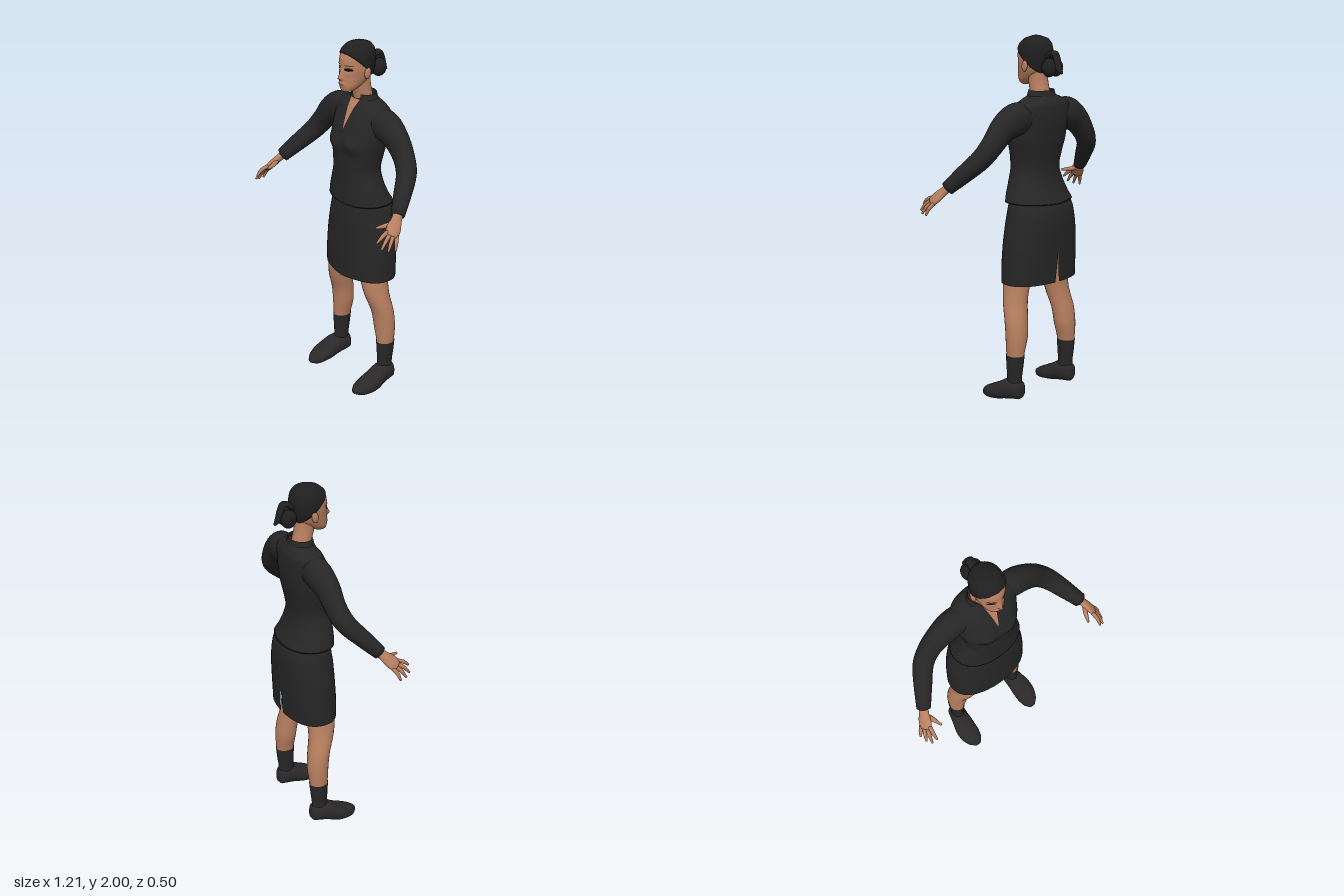
import * as THREE from 'three';

const V = (x, y, z) => new THREE.Vector3(x, y, z);
const UP = V(0, 1, 0), RIGHT = V(1, 0, 0), FRONT = V(0, 0, 1);
const paint = (name, color, side = THREE.FrontSide) => {
  const m = new THREE.MeshStandardMaterial({ color, side });
  m.name = name;
  return m;
};
const bump = (d, s) => Math.exp(-((d / s) ** 2));

// Smooth skin over elliptical sections [x, y, z, radiusA, radiusB].
// dir fixes the ring plane; without it rings follow the path.
function loft(rows, { side = RIGHT, dir = null, seg = 24, sub = 4, pow = 2, caps = true, arc = null, shape = null } = {}) {
  const path = new THREE.CatmullRomCurve3(rows.map(r => V(r[0], r[1], r[2])));
  const radii = new THREE.CatmullRomCurve3(rows.map(r => V(r[3], r[4], 0)));
  const steps = (rows.length - 1) * sub, cols = arc ? seg + 1 : seg;
  const pos = [], idx = [];
  const soft = v => Math.sign(v) * Math.abs(v) ** (2 / pow);
  for (let i = 0; i <= steps; i++) {
    const t = i / steps, c = path.getPoint(t), r = radii.getPoint(t);
    const T = dir || path.getTangent(t);
    const a = side.clone().addScaledVector(T, -side.dot(T)).normalize();
    const b = T.clone().cross(a).normalize();
    for (let j = 0; j < cols; j++) {
      const u = j / seg, th = arc ? arc[0] + (arc[1] - arc[0]) * u : u * Math.PI * 2;
      const p = c.clone().addScaledVector(a, r.x * soft(Math.cos(th))).addScaledVector(b, r.y * soft(Math.sin(th)));
      if (shape) shape(p, u, c);
      pos.push(p.x, p.y, p.z);
    }
  }
  for (let i = 0; i < steps; i++) for (let j = 0; j < seg; j++) {
    const k = (j + 1) % cols, p = i * cols, q = p + cols;
    idx.push(p + j, p + k, q + j, p + k, q + k, q + j);
  }
  if (caps) for (const end of [0, steps]) {
    const mid = [0, 0, 0], start = end * cols, n = pos.length / 3;
    for (let j = 0; j < cols; j++) for (let k = 0; k < 3; k++) mid[k] += pos[(start + j) * 3 + k] / cols;
    pos.push(...mid);
    for (let j = 0; j < seg; j++) {
      const k = (j + 1) % cols;
      idx.push(n, start + (end ? j : k), start + (end ? k : j));
    }
  }
  return finish(pos, idx);
}

function finish(pos, idx) {
  const g = new THREE.BufferGeometry();
  g.setAttribute('position', new THREE.Float32BufferAttribute(pos, 3));
  g.setIndex(idx);
  g.computeVertexNormals();
  return g;
}

// Thin patch laid on the front of a mesh; rows are [y, xLeft, xRight].
function patch(target, rows, cols = 8, lift = 0.003) {
  const ray = new THREE.Raycaster(), pos = [], idx = [];
  rows.forEach(([y, x0, x1], i) => {
    for (let j = 0; j <= cols; j++) {
      const x = x0 + (x1 - x0) * j / cols;
      ray.set(V(x, y, 1), V(0, 0, -1));
      const hit = ray.intersectObject(target)[0];
      pos.push(x, y, (hit ? hit.point.z : 0) + lift);
      if (i && j) {
        const q = i * (cols + 1) + j, p = q - cols - 1;
        idx.push(p - 1, p, q - 1, p, q, q - 1);
      }
    }
  });
  return finish(pos, idx);
}
const oval = (cx, cy, w, h, slant = 0) => Array.from({ length: 9 }, (_, i) => {
  const k = -1 + i / 4, half = w * Math.sqrt(1 - k * k) + 0.0005;
  return [cy + h * k, cx - half + slant * k, cx + half + slant * k];
});

export function createModel() {
  const model = new THREE.Group();
  const skin = paint('skin', 0xb98060);
  const cloth = paint('suit cloth', 0x262626, THREE.DoubleSide);
  const hairMat = paint('hair', 0x1f1f1f);
  const shoeMat = paint('shoe leather', 0x2a2828);
  const sockMat = paint('sock', 0x272727, THREE.DoubleSide);
  const eyeMat = paint('eye', 0x0b0908);
  const lipMat = paint('lip', 0x935c48);
  const browMat = paint('brow', 0x5a3c2c);
  const add = (name, geo, mat) => {
    const m = new THREE.Mesh(geo, mat);
    m.name = name;
    model.add(m);
    return m;
  };

  // Jacket body with bust, waist and flared hem
  const jacket = add('jacket', loft([
    [0, 1.105, -0.08, 0.207, 0.14], [0, 1.15, -0.068, 0.195, 0.128], [0, 1.22, -0.056, 0.168, 0.114],
    [0, 1.30, -0.051, 0.143, 0.111], [0, 1.38, -0.058, 0.155, 0.117], [0, 1.45, -0.064, 0.172, 0.124],
    [0, 1.52, -0.075, 0.178, 0.12], [0, 1.59, -0.09, 0.185, 0.105], [0, 1.64, -0.1, 0.18, 0.09],
    [0, 1.667, -0.102, 0.135, 0.072], [0, 1.69, -0.1, 0.075, 0.058]],
  {
    dir: UP, seg: 48, pow: 2.25,
    shape: (p, u, c) => {
      if (p.z > c.z) p.z += 0.02 * bump(Math.abs(p.x) - 0.075, 0.05) * bump(p.y - 1.455, 0.04);
      if (p.y < 1.15) p.y += 0.012 * (Math.abs(p.x) / 0.2) * (1.15 - p.y) / 0.045;
    },
  }), cloth);
  jacket.geometry.computeBoundingSphere();
  add('openNeckline', patch(jacket, [[1.53, -0.001, 0.001], [1.56, -0.007, 0.007], [1.60, -0.015, 0.015],
    [1.64, -0.024, 0.024], [1.665, -0.03, 0.03], [1.685, -0.036, 0.036]], 8, 0.004), skin);
  add('collar', loft([[0, 1.66, -0.1, 0.112, 0.077], [0, 1.685, -0.098, 0.087, 0.067], [0, 1.715, -0.098, 0.076, 0.062]],
    { dir: UP, seg: 36, caps: false, arc: [-Math.PI / 2 + 0.5, Math.PI * 1.5 - 0.5] }), cloth);

  // Skirt, open at the back seam for the slit
  add('skirt', loft([[0, 0.675, -0.08, 0.24, 0.14], [0, 0.78, -0.082, 0.239, 0.143], [0, 0.9, -0.088, 0.233, 0.143],
    [0, 1.0, -0.092, 0.217, 0.142], [0, 1.08, -0.092, 0.202, 0.132], [0, 1.15, -0.08, 0.178, 0.112]],
  {
    dir: UP, seg: 48, pow: 2.3, caps: false, arc: [Math.PI / 2, Math.PI * 2.5],
    shape: (p, u) => {
      const gap = 0.014 * Math.max(0, (0.83 - p.y) / 0.155);
      if (u === 0) p.x -= gap;
      if (u === 1) p.x += gap;
      if (p.y < 0.7 && p.z > 0) p.y -= 0.012 * bump(p.x, 0.08);
    },
  }), cloth);

  // Neck and head
  add('neck', loft([[0, 1.62, -0.1, 0.058, 0.05], [0, 1.70, -0.088, 0.054, 0.053],
    [0, 1.76, -0.074, 0.052, 0.055], [0, 1.83, -0.065, 0.055, 0.06]], { dir: UP }), skin);
  const headRows = [[0, 1.736, 0.02, 0.016, 0.016], [0, 1.745, 0.012, 0.036, 0.036], [0, 1.77, -0.008, 0.055, 0.063],
    [0, 1.81, -0.035, 0.07, 0.088], [0, 1.86, -0.045, 0.08, 0.097], [0, 1.91, -0.05, 0.083, 0.099],
    [0, 1.95, -0.055, 0.077, 0.088], [0, 1.978, -0.06, 0.055, 0.062], [0, 1.993, -0.06, 0.016, 0.018]];
  const head = add('head', loft(headRows, {
    dir: UP, seg: 96, sub: 8,
    shape: p => {
      if (p.z < 0) return;
      const x = Math.abs(p.x);
      p.z += 0.021 * bump(x, 0.012) * bump(p.y - 1.817, p.y > 1.817 ? 0.034 : 0.011)
        + 0.008 * bump(x, 0.008) * bump(x - 0.014, 0.02) * bump(p.y - 1.814, 0.01)
        - 0.007 * bump(x - 0.037, 0.018) * bump(p.y - 1.864, 0.013)
        + 0.006 * bump(x, 0.022) * bump(p.y - 1.784, 0.01);
    },
  }), skin);
  add('lips', patch(head, oval(0, 1.784, 0.023, 0.006)), lipMat);

  // Hair cap rises above the scalp behind a slanted hairline and sinks inside elsewhere
  const centre = V(0, 1.87, -0.05);
  add('hairCap', loft(headRows, {
    dir: UP, seg: 96, sub: 12,
    shape: p => {
      const line = Math.min(1.942, 1.80 + (p.z + 0.12) * 0.92);
      const k = THREE.MathUtils.clamp((p.y - line) / 0.006, -1, 1);
      p.addScaledVector(p.clone().sub(centre).normalize(), k > 0 ? 0.007 * k : 0.016 * k);
    },
  }), hairMat);
  for (const s of [1, -1]) {
    const lobe = new THREE.SphereGeometry(1, 20, 14).scale(0.034, 0.05, 0.044);
    add('bunLobe', lobe.translate(0.025 * s, 1.837, -0.177), hairMat);
  }
  add('bunStrand', loft([[0, 1.875, -0.13, 0.03, 0.02], [0, 1.905, -0.165, 0.026, 0.015], [0, 1.912, -0.195, 0.024, 0.014],
    [0, 1.875, -0.213, 0.024, 0.016], [0, 1.835, -0.225, 0.022, 0.015], [0, 1.808, -0.247, 0.008, 0.004]], { seg: 16 }), hairMat);

  for (const s of [1, -1]) {
    const side = s > 0 ? 'left' : 'right';
    const flip = rows => rows.map(([x, ...rest]) => [x * s, ...rest]);
    const part = (name, rows, opt, mat) => add(side + name, loft(flip(rows), opt), mat);

    // Face details and ear
    add(side + 'Eye', patch(head, oval(0.039 * s, 1.865, 0.021, 0.009)), eyeMat);
    add(side + 'Brow', patch(head, oval(0.04 * s, 1.887, 0.023, 0.003, 0.004 * s)), browMat);
    add(side + 'Ear', new THREE.SphereGeometry(1, 16, 12).scale(0.011, 0.031, 0.019)
      .rotateX(-0.2).translate(0.084 * s, 1.842, -0.055), skin);

    // Sleeve
    part('Sleeve', [[0.12, 1.58, -0.095, 0.07, 0.08], [0.2, 1.57, -0.095, 0.07, 0.089], [0.28, 1.53, -0.09, 0.062, 0.077],
      [0.35, 1.455, -0.085, 0.055, 0.064], [0.405, 1.385, -0.06, 0.053, 0.057], [0.465, 1.30, 0.015, 0.046, 0.049],
      [0.515, 1.225, 0.085, 0.036, 0.04]], { side: FRONT }, cloth);

    // Hand with four fingers and a thumb
    const across = V(0.505 * s, -0.459, -0.734);
    part('Palm', [[0.505, 1.24, 0.07, 0.026, 0.022], [0.525, 1.21, 0.1, 0.028, 0.02], [0.545, 1.175, 0.135, 0.039, 0.018],
      [0.562, 1.147, 0.163, 0.036, 0.012]], { side: across, seg: 20 }, skin);
    const tips = [[0.545, 1.125, 0.243], [0.572, 1.095, 0.235], [0.59, 1.083, 0.205], [0.6, 1.08, 0.165]];
    tips.forEach(([x, y, z], i) => {
      const k = (i - 1.5) * 0.018;
      const b = [0.555 + 0.505 * k, 1.157 - 0.459 * k, 0.152 - 0.734 * k];
      part('Finger', [[...b, 0.011, 0.011], [(b[0] + x) / 2 + 0.004, (b[1] + y) / 2 + 0.006, (b[2] + z) / 2 + 0.003, 0.0105, 0.0105],
        [x, y, z, 0.0055, 0.0055]], { side: across, seg: 10 }, skin);
    });
    part('Thumb', [[0.53, 1.2, 0.11, 0.014, 0.014], [0.507, 1.185, 0.155, 0.013, 0.013], [0.488, 1.178, 0.205, 0.006, 0.006]],
      { side: across, seg: 10 }, skin);

    // Leg, sock and shoe
    part('Leg', [[0.204, 0.14, -0.095, 0.032, 0.042], [0.204, 0.22, -0.098, 0.038, 0.047], [0.202, 0.29, -0.1, 0.047, 0.053],
      [0.192, 0.38, -0.1, 0.062, 0.06], [0.185, 0.47, -0.09, 0.066, 0.062], [0.167, 0.57, -0.065, 0.064, 0.072],
      [0.15, 0.66, -0.058, 0.064, 0.082], [0.12, 0.8, -0.07, 0.075, 0.085], [0.1, 0.95, -0.09, 0.08, 0.09]], { dir: UP }, skin);
    part('Sock', [[0.204, 0.1, -0.094, 0.037, 0.046], [0.204, 0.15, -0.095, 0.036, 0.046], [0.204, 0.21, -0.098, 0.042, 0.05],
      [0.203, 0.28, -0.1, 0.048, 0.055]], { dir: UP, caps: false }, sockMat);
    part('Shoe', [[0.203, 0.078, -0.15, 0.022, 0.03], [0.204, 0.082, -0.135, 0.042, 0.05], [0.206, 0.083, -0.095, 0.051, 0.056],
      [0.212, 0.076, -0.05, 0.056, 0.059], [0.217, 0.056, 0, 0.063, 0.052], [0.217, 0.042, 0.05, 0.062, 0.042],
      [0.213, 0.03, 0.1, 0.046, 0.03], [0.21, 0.026, 0.13, 0.018, 0.014]],
    { dir: FRONT, pow: 2.3, shape: p => { p.y = Math.max(p.y, 0, (0.1 - p.z) * 0.13); } }, shoeMat);
  }
  return model;
}
